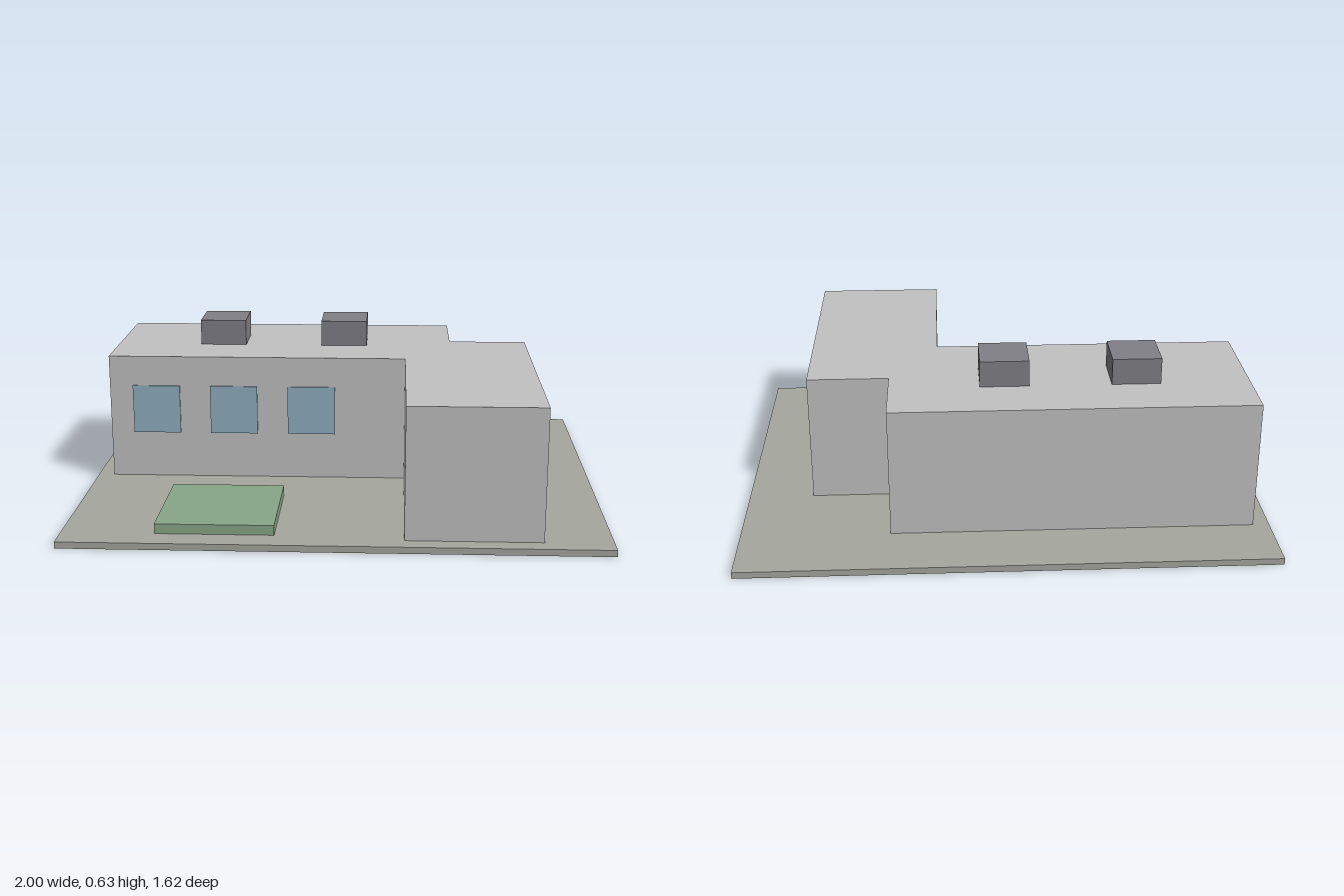
import * as THREE from 'three';

const material = (name, color) => {
  const m = new THREE.MeshStandardMaterial({ color });
  m.name = name;
  return m;
};

export function createModel() {
  const model = new THREE.Group();
  model.name = 'building';

  const paving = material('paving', 0xa5a79e);
  const concrete = material('concrete', 0xc1c1c1);
  const glass = material('glass', 0x8fb0c0);
  const grass = material('grass', 0x88a688);
  const metal = material('metal', 0x7f7f86);

  // Box given by its minimum and maximum corners
  const box = (name, mat, [x0, y0, z0], [x1, y1, z1]) => {
    const mesh = new THREE.Mesh(new THREE.BoxGeometry(x1 - x0, y1 - y0, z1 - z0), mat);
    mesh.position.set((x0 + x1) / 2, (y0 + y1) / 2, (z0 + z1) / 2);
    mesh.name = name;
    model.add(mesh);
  };

  const ground = 0.025, roof = 0.525, wall = 0.0625;

  // Site slab
  box('siteSlab', paving, [-1, 0, -0.8125], [1, ground, 0.8125]);

  // Main block and side wing as one extruded footprint (shape y = -z)
  const footprint = new THREE.Shape([
    [-0.9375, -wall], [0.25, -wall], [0.25, -0.75], [0.75, -0.75],
    [0.75, 0.25], [0.4375, 0.25], [0.4375, 0.5625], [-0.9375, 0.5625],
  ].map(([x, y]) => new THREE.Vector2(x, y)));
  const blockGeometry = new THREE.ExtrudeGeometry(footprint, { depth: roof - ground, bevelEnabled: false });
  blockGeometry.rotateX(-Math.PI / 2);
  const block = new THREE.Mesh(blockGeometry, concrete);
  block.position.y = ground;
  block.name = 'buildingBlock';
  model.add(block);

  // Front windows
  [-0.75, -0.4375, -0.125].forEach((x, i) =>
    box(`window${i + 1}`, glass, [x - 0.095, 0.21, wall - 0.002], [x + 0.095, 0.405, wall + 0.006]));

  // Rooftop units
  [-0.5, 0].forEach((x, i) =>
    box(`roofUnit${i + 1}`, metal, [x - 0.095, roof, -0.348], [x + 0.092, 0.627, -0.16]));

  // Raised lawn
  box('lawn', grass, [-0.656, ground, 0.28], [-0.22, 0.0625, 0.717]);

  return model;
}
